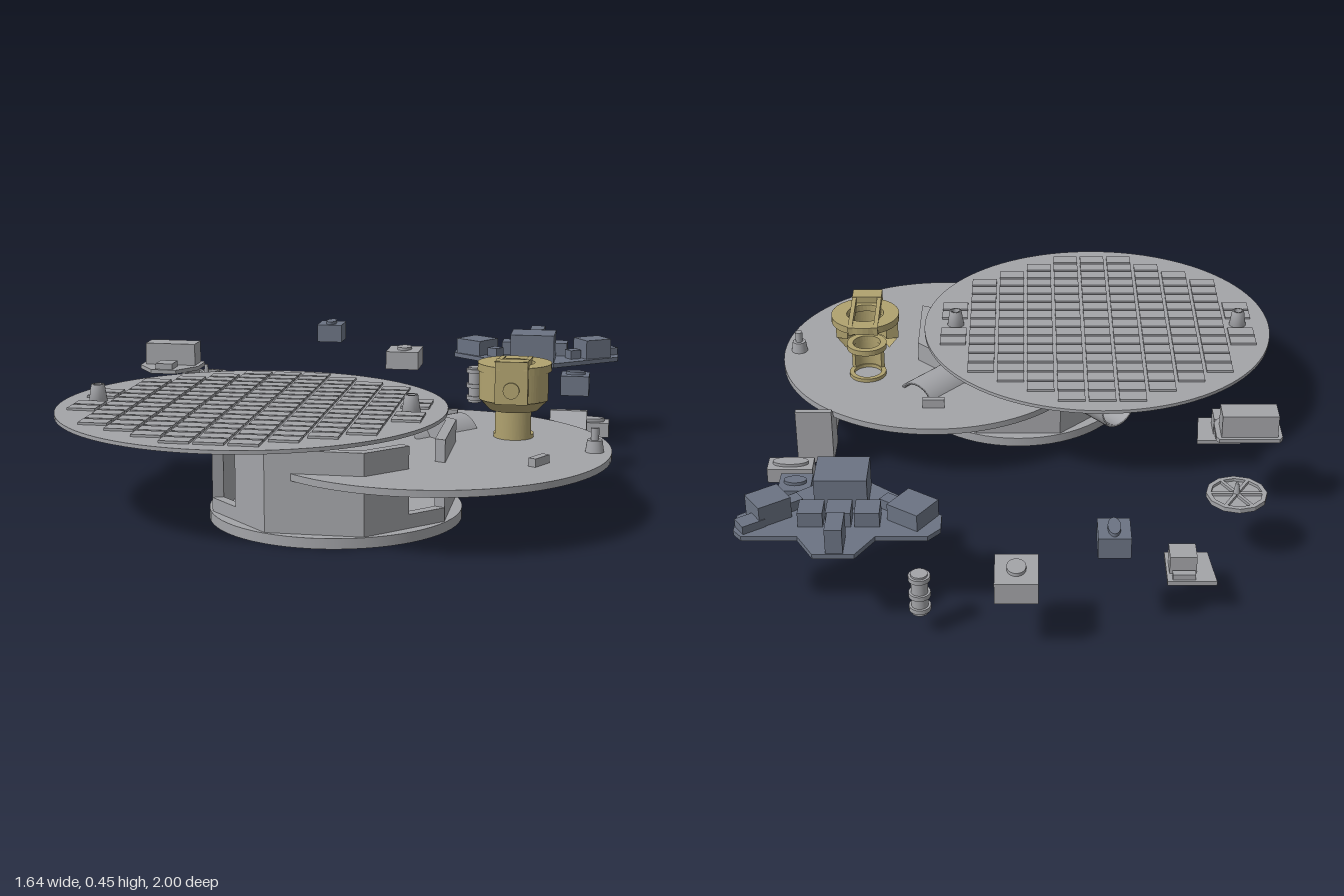
import * as THREE from 'three';
import { mergeGeometries } from 'three/addons/utils/BufferGeometryUtils.js';

const mat = (name, color) => new THREE.MeshStandardMaterial({ name, color });

export function createModel() {
  const root = new THREE.Group();
  const grey = mat('light grey', 0xa3a4a8);
  const slate = mat('slate grey', 0x6b7383);
  const ochre = mat('ochre', 0xb0a26f);
  const ochreThin = mat('ochre shell', 0xb0a26f);
  ochreThin.side = THREE.DoubleSide;
  const greyThin = mat('grey shell', 0xa3a4a8);
  greyThin.side = THREE.DoubleSide;

  const add = (name, geo, m, x = 0, y = 0, z = 0, parent = root) => {
    const mesh = new THREE.Mesh(geo, m);
    mesh.name = name;
    mesh.position.set(x, y, z);
    parent.add(mesh);
    return mesh;
  };
  // box given by its limits
  const box = (name, m, x0, x1, y0, y1, z0, z1) =>
    add(name, new THREE.BoxGeometry(x1 - x0, y1 - y0, z1 - z0), m, (x0 + x1) / 2, (y0 + y1) / 2, (z0 + z1) / 2);
  const cyl = (name, m, x, z, y0, y1, rBottom, rTop = rBottom, n = 32) =>
    add(name, new THREE.CylinderGeometry(rTop, rBottom, y1 - y0, n), m, x, (y0 + y1) / 2, z);
  // flat outline in (x, z) raised from y0 to y1
  const slab = (name, m, pts, y0, y1, holes = []) => {
    const shape = new THREE.Shape(pts.map(([x, z]) => new THREE.Vector2(x, -z)));
    holes.forEach(h => shape.holes.push(new THREE.Path(h.map(([x, z]) => new THREE.Vector2(x, -z)))));
    const g = new THREE.ExtrudeGeometry(shape, { depth: y1 - y0, bevelEnabled: false });
    g.rotateX(-Math.PI / 2);
    return add(name, g, m, 0, y0, 0);
  };
  // points on an arc, angle 0 facing +z
  const arc = (cx, cz, r, a0, a1, n = 32) => Array.from({ length: n + 1 }, (_, i) => {
    const a = a0 + (a1 - a0) * i / n;
    return [cx + r * Math.sin(a), cz + r * Math.cos(a)];
  });

  // Large tiled deck
  const AX = -0.24, AZ = 0.415;
  cyl('tiledDeck', grey, AX, AZ, 0.288, 0.299, 0.58, 0.58, 96);
  const tiles = [];
  const px = 0.096, pz = 0.062;
  for (let i = -6; i <= 6; i++) for (let j = -9; j <= 9; j++) {
    const x = i * px, z = j * pz;
    if (Math.hypot(Math.abs(x) + 0.043, Math.abs(z) + 0.026) > 0.555) continue;
    if (Math.abs(Math.abs(x) - 0.475) < 0.07 && Math.abs(z) < 0.05) continue;
    tiles.push(new THREE.BoxGeometry(0.085, 0.008, 0.051).translate(x, 0, z));
  }
  add('deckTiles', mergeGeometries(tiles), grey, AX, 0.302, AZ);
  for (const s of [-1, 1]) {
    const profile = [[0.012, 0.299], [0.028, 0.299], [0.02, 0.35], [0.012, 0.35], [0.012, 0.305]];
    add('deckBollard', new THREE.LatheGeometry(profile.map(p => new THREE.Vector2(...p)), 24), greyThin, AX + s * 0.475, 0, AZ);
  }

  // Lower deck and its fittings
  cyl('lowerDeck', grey, 0.293, 0.415, 0.18, 0.2, 0.525, 0.525, 96);
  box('deckBlock', grey, 0.26, 0.33, 0.2, 0.23, 0.022, 0.042);
  box('deckCleat', grey, -0.035, 0.035, 0, 0.024, -0.012, 0.012).position.set(0.62, 0.212, 0.6);
  root.children.at(-1).rotation.y = 1.05;
  cyl('postBase', grey, 0.768, 0.415, 0.2, 0.235, 0.027, 0.022, 24);
  cyl('post', grey, 0.768, 0.415, 0.235, 0.27, 0.012, 0.012, 16);

  // Hollow octagonal drum with slots on both front corners
  const DX = 0.024, DZ = 0.484;
  cyl('drumBase', grey, DX, DZ, 0, 0.03, 0.369, 0.369, 64);
  const a = 0.336, k = 0.139, t = 0.91;
  const oct = s => [[k, a], [a, k], [a, -k], [k, -a], [-k, -a], [-a, -k], [-a, k], [-k, a]]
    .map(([x, z]) => [DX + x * s, DZ + z * s]);
  slab('drumSill', grey, oct(1), 0.03, 0.07, [oct(t)]);
  const g0 = [0.247, 0.228];
  const scale = (pts, s) => pts.map(([x, z]) => [DX + x * s, DZ + z * s]);
  const strip = pts => [...scale(pts, 1), ...scale(pts, t).reverse()];
  slab('drumFrontWall', grey, strip([[-g0[0], g0[1]], [-k, a], [k, a], g0]), 0.07, 0.265);
  slab('drumRearWall', grey, strip([[a, k], [a, -k], [k, -a], [-k, -a], [-a, -k], [-a, k]]), 0.07, 0.265);

  // Open tubes pointing out of the rear corners
  for (const s of [-1, 1]) {
    const pts = [[0.07, -0.12], [0.08, -0.12], [0.08, 0.12], [0.07, 0.12], [0.07, -0.12]];
    const tube = add('exhaustTube', new THREE.LatheGeometry(pts.map(p => new THREE.Vector2(...p)), 32), greyThin,
      DX + s * 0.25, 0.158, DZ - 0.277);
    tube.quaternion.setFromUnitVectors(new THREE.Vector3(0, 1, 0), new THREE.Vector3(s * 0.66, 0, -0.75).normalize());
  }

  // Ochre turret: open at the back
  const TX = 0.522, TZ = 0.25;
  const half = (r, w, lim) => [...arc(TX, TZ, r, -lim, lim), ...arc(TX, TZ, r - w, lim, -lim)];
  const ring = (name, r, hole, y0, y1) => slab(name, ochre, arc(TX, TZ, r, 0, 2 * Math.PI, 40), y0, y1,
    [arc(TX, TZ, hole, 0, 2 * Math.PI, 32)]);
  ring('turretFoot', 0.06, 0.045, 0.2, 0.212);
  slab('turretPedestal', ochre, half(0.06, 0.012, 1.1), 0.2, 0.3);
  add('turretCone', new THREE.CylinderGeometry(0.108, 0.075, 0.035, 24, 1, true, -1.25, 2.5), ochreThin, TX, 0.303, TZ);
  ring('turretLowerRing', 0.065, 0.045, 0.3, 0.318);
  slab('turretShell', ochre, half(0.108, 0.04, 1.25), 0.318, 0.405);
  ring('turretTopRing', 0.11, 0.06, 0.402, 0.425);
  box('turretFrontBlock', ochre, TX - 0.048, TX + 0.048, 0.32, 0.44, 0.34, 0.375);
  cyl('turretPort', ochre, TX, 0.377, 0.36 - 0.005, 0.36 + 0.005, 0.024).rotation.x = Math.PI / 2;
  root.children.at(-1).position.y = 0.362;
  for (const s of [-1, 1]) {
    const rail = box('turretRail', ochre, -0.007, 0.007, -0.014, 0.014, -0.115, 0.115);
    rail.position.set(TX + s * 0.041, 0.423, 0.26);
    rail.rotation.x = -0.1;
  }
  box('turretCrossbar', ochre, TX - 0.048, TX + 0.048, 0.425, 0.447, 0.325, 0.378);
  box('turretRearBar', ochre, TX - 0.048, TX + 0.048, 0.405, 0.425, 0.145, 0.165);

  // Small bowl on a stem
  const bowl = [[0, 0.225], [0.025, 0.23], [0.043, 0.244], [0.053, 0.265], [0, 0.265]];
  add('bowl', new THREE.LatheGeometry(bowl.map(p => new THREE.Vector2(...p)), 24), ochre, -0.468, 0, 0.24);
  cyl('bowlStem', ochre, -0.468, 0.24, 0.18, 0.23, 0.01, 0.01, 16);

  // Loose blocks with oval caps: [material, x0, x1, y0, y1, z0, z1, cap rx, cap rz]
  for (const [m, x0, x1, y0, y1, z0, z1, rx, rz] of [
    [slate, -0.285, -0.195, 0.285, 0.348, -0.93, -0.83, 0.018, 0.04],
    [grey, -0.035, 0.085, 0.185, 0.25, -1, -0.86, 0.027, 0.035],
    [slate, 0.625, 0.72, 0.188, 0.255, -0.55, -0.455, 0.033, 0.02],
    [grey, 0.655, 0.795, 0.105, 0.152, -0.27, -0.2, 0.055, 0.022]]) {
    box('looseBlock', m, x0, x1, y0, y1, z0, z1);
    const cap = cyl('blockCap', m, (x0 + x1) / 2, (z0 + z1) / 2, y1, y1 + 0.01, 1);
    cap.scale.set(rx, 1, rz);
  }

  // Bracket with a raked fin and two pegs
  box('bracketBody', grey, 0.615, 0.73, 0.04, 0.16, -0.05, 0.08);
  const fin = new THREE.Shape([[0.03, 0.16], [-0.03, 0.225], [-0.05, 0.225], [-0.05, 0.16]].map(p => new THREE.Vector2(-p[0], p[1])));
  const finGeo = new THREE.ExtrudeGeometry(fin, { depth: 0.115, bevelEnabled: false });
  add('bracketFin', finGeo.rotateY(Math.PI / 2), grey, 0.615);
  for (const x of [0.634, 0.711]) {
    const peg = cyl('bracketPeg', grey, x, 0.112, 0, 0.07, 0.02, 0.02, 20);
    peg.position.y = 0.09;
    peg.rotation.x = Math.PI / 2;
  }

  // Side consoles, a mirrored pair of shapes
  for (const [x0, s, z] of [[-0.4, -1, -0.8], [-0.69, 1, -0.035]]) {
    const X = d => x0 + s * d;
    const pts = [[X(0), z], [X(0.14), z], [X(0.125), z + 0.145], [X(0), z + 0.145]];
    slab('consoleBase', grey, pts, 0.1, 0.113);
    const span = (d0, d1) => [Math.min(X(d0), X(d1)), Math.max(X(d0), X(d1))];
    box('consoleDesk', grey, ...span(0.008, 0.085), 0.113, 0.168, z + 0.04, z + 0.108);
    box('consoleShelf', grey, ...span(0.015, 0.08), 0.113, 0.13, z + 0.008, z + 0.03);
  }

  // Spoked wheel
  const WX = -0.62, WZ = -0.5;
  slab('wheelRim', grey, arc(WX, WZ, 0.09, 0, 2 * Math.PI, 12), 0.203, 0.217, [arc(WX, WZ, 0.076, 0, 2 * Math.PI, 12)]);
  cyl('wheelDisc', grey, WX, WZ, 0.203, 0.208, 0.08, 0.08, 12);
  for (let i = 0; i < 3; i++) box('wheelSpoke', grey, -0.08, 0.08, -0.005, 0.005, -0.005, 0.005)
    .position.set(WX, 0.212, WZ), root.children.at(-1).rotation.y = i * Math.PI / 3;
  cyl('wheelHub', grey, WX, WZ, 0.208, 0.25, 0.012, 0.005, 12);

  // Raised grey station
  slab('stationBase', grey, [[-0.765, -0.325], [-0.583, -0.325], [-0.575, -0.31], [-0.575, -0.225], [-0.63, -0.14],
    [-0.715, -0.14], [-0.775, -0.225], [-0.775, -0.31]], 0.28, 0.293);
  box('stationCabinet', grey, -0.76, -0.59, 0.293, 0.365, -0.315, -0.237);
  box('stationSeat', grey, -0.702, -0.645, 0.293, 0.312, -0.215, -0.15);

  // Short standing canister
  cyl('canister', grey, 0.293, -0.88, 0.07, 0.2, 0.024, 0.024, 20);
  for (const y of [0.08, 0.125, 0.18]) cyl('canisterBand', grey, 0.293, -0.88, y, y + 0.014, 0.031, 0.031, 20);

  // Slate control platform
  slab('platformBase', slate, [[0.465, -0.905], [0.58, -0.905], [0.63, -0.82], [0.785, -0.82], [0.81, -0.79], [0.81, -0.715],
    [0.595, -0.545], [0.445, -0.545], [0.235, -0.715], [0.235, -0.78], [0.27, -0.82], [0.415, -0.82]], 0.265, 0.28);
  // [x, z, width, depth, top, turn]
  for (const [x, z, w, d, top, turn] of [
    [0.52, -0.618, 0.15, 0.13, 0.375, 0],
    [0.44, -0.738, 0.07, 0.07, 0.325, 0], [0.52, -0.738, 0.07, 0.07, 0.325, 0], [0.598, -0.738, 0.07, 0.07, 0.325, 0],
    [0.52, -0.855, 0.048, 0.09, 0.355, 0],
    [0.315, -0.725, 0.105, 0.1, 0.332, -0.6], [0.72, -0.715, 0.1, 0.085, 0.345, 0.6],
    [0.765, -0.77, 0.07, 0.05, 0.305, 0.6],
    [0.385, -0.67, 0.04, 0.04, 0.31, -0.6], [0.655, -0.67, 0.04, 0.04, 0.31, 0.6]]) {
    const b = box('platformConsole', slate, -w / 2, w / 2, 0.28, top, -d / 2, d / 2);
    b.position.x = x;
    b.position.z = z;
    b.rotation.y = turn;
  }
  return root;
}
